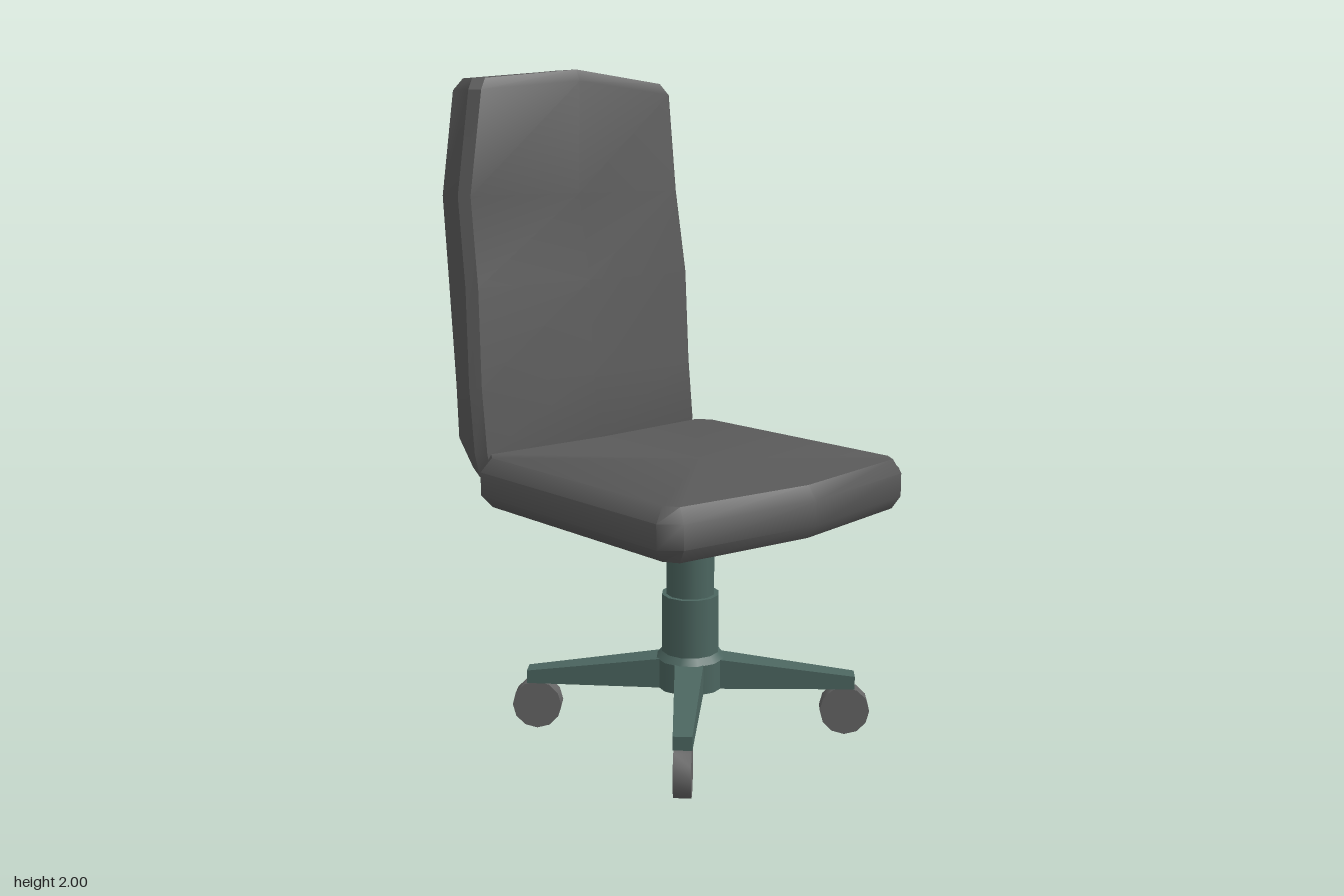
import * as THREE from 'three';
import { toCreasedNormals } from 'three/addons/utils/BufferGeometryUtils.js';

const fabric = new THREE.MeshStandardMaterial({ color: 0x5a5a5a });
const metal = new THREE.MeshStandardMaterial({ color: 0x4c6660 });
const rubber = new THREE.MeshStandardMaterial({ color: 0x666666 });

// Closed ring from a half outline [x, y, z] running front centre -> side -> back centre.
function mirrorRing(half) {
  const other = half.slice(1, -1).reverse().map(([x, y, z]) => [x, y, -z]);
  return [...half, ...other];
}

// Skin stacked rings (bottom to top) and close both ends with fans.
function loft(rings, crease) {
  const pos = [];
  const tri = (...p) => p.forEach((v) => pos.push(...v));
  const n = rings[0].length;
  for (let i = 0; i < rings.length - 1; i++) {
    for (let j = 0; j < n; j++) {
      const k = (j + 1) % n;
      const a = rings[i][j], b = rings[i][k], c = rings[i + 1][k], d = rings[i + 1][j];
      tri(a, b, c);
      tri(a, c, d);
    }
  }
  const middle = (r) => r[0].map((v, i) => (v + r[n / 2][i]) / 2);
  const low = rings[0], high = rings[rings.length - 1];
  for (let j = 0; j < n; j++) {
    const k = (j + 1) % n;
    tri(middle(low), low[k], low[j]);
    tri(middle(high), high[j], high[k]);
  }
  const geo = new THREE.BufferGeometry();
  geo.setAttribute('position', new THREE.Float32BufferAttribute(pos, 3));
  return toCreasedNormals(geo, crease);
}

function add(parent, name, geo, mat) {
  const mesh = new THREE.Mesh(geo, mat);
  mesh.name = name;
  parent.add(mesh);
  return mesh;
}

// Cushion with rounded rim, pointed front and slightly hollow back edge
function seatGeometry() {
  const wide = [[0.58, 0], [0.52, -0.435], [0.47, -0.485], [-0.32, -0.485], [-0.37, -0.435], [-0.34, 0]];
  const inset = [[0.55, 0], [0.495, -0.425], [0.455, -0.45], [-0.31, -0.45], [-0.355, -0.42], [-0.335, 0]];
  const ring = (o, y) => mirrorRing(o.map(([x, z]) => [x, y, z]));
  return loft([ring(inset, 0.705), ring(wide, 0.745), ring(wide, 0.815), ring(inset, 0.855)], 0.9);
}

// Backrest with chamfered edges; rows: back y, front y, back x, front x, half width, arch, front bulge
function backrestGeometry() {
  const rows = [
    [0.8, 0.775, -0.475, -0.375, 0.425, 0, 0.01],
    [0.89, 0.85, -0.513, -0.357, 0.447, 0, 0.02],
    [1.05, 1.05, -0.52, -0.383, 0.447, 0, 0.015],
    [1.35, 1.35, -0.55, -0.4, 0.443, 0, 0.01],
    [1.62, 1.62, -0.585, -0.45, 0.435, 0, 0],
    [1.93, 1.93, -0.575, -0.44, 0.395, 0.035, 0],
    [1.965, 1.965, -0.558, -0.455, 0.37, 0.035, 0],
  ];
  const c = 0.027;
  return loft(rows.map(([yb, yf, xb, xf, w, arch, bulge]) => mirrorRing([
    [xf, yf + arch, 0],
    [xf - bulge, yf, -w + c],
    [xf - bulge - c, yf, -w],
    [xb + c, yb, -w],
    [xb, yb, -w + c],
    [xb, yb + arch, 0],
  ])), 0.5);
}

// Tapering arm along +x: narrower and lower toward the tip
function armGeometry() {
  const geo = new THREE.BoxGeometry(1, 1, 1);
  const p = geo.attributes.position;
  for (let i = 0; i < p.count; i++) {
    const tip = p.getX(i) > 0, top = p.getY(i) > 0;
    p.setXYZ(i, tip ? 0.5 : 0.04, top ? (tip ? 0.185 : 0.243) : 0.145, Math.sign(p.getZ(i)) * (tip ? 0.027 : 0.045));
  }
  return toCreasedNormals(geo.toNonIndexed(), 0.3);
}

export function createModel() {
  const model = new THREE.Group();
  model.name = 'officeChair';
  add(model, 'seat', seatGeometry(), fabric);
  add(model, 'backrest', backrestGeometry(), fabric);

  const base = new THREE.Group();
  base.name = 'base';
  base.position.x = 0.073;
  model.add(base);

  // Telescoping column: name, bottom radius, top radius, bottom y, top y
  for (const [name, r0, r1, y0, y1] of [
    ['hub', 0.105, 0.105, 0.145, 0.235],
    ['hubCollar', 0.105, 0.088, 0.235, 0.255],
    ['lowerColumn', 0.088, 0.088, 0.25, 0.435],
    ['middleColumn', 0.074, 0.074, 0.43, 0.56],
    ['gasLift', 0.035, 0.035, 0.555, 0.72],
  ]) {
    add(base, name, new THREE.CylinderGeometry(r1, r0, y1 - y0, 12), metal).position.y = (y0 + y1) / 2;
  }

  // Four diagonal arms, each with a wheel at its tip
  const arm = armGeometry();
  const wheel = toCreasedNormals(new THREE.CylinderGeometry(0.075, 0.075, 0.05, 12).rotateX(Math.PI / 2).toNonIndexed(), 0.7);
  for (let i = 0; i < 4; i++) {
    const leg = new THREE.Group();
    leg.name = 'leg' + (i + 1);
    leg.rotation.y = Math.PI / 4 + (i * Math.PI) / 2;
    add(leg, 'arm', arm, metal);
    add(leg, 'casterWheel', wheel, rubber).position.set(0.471, 0.075, 0);
    base.add(leg);
  }
  return model;
}
